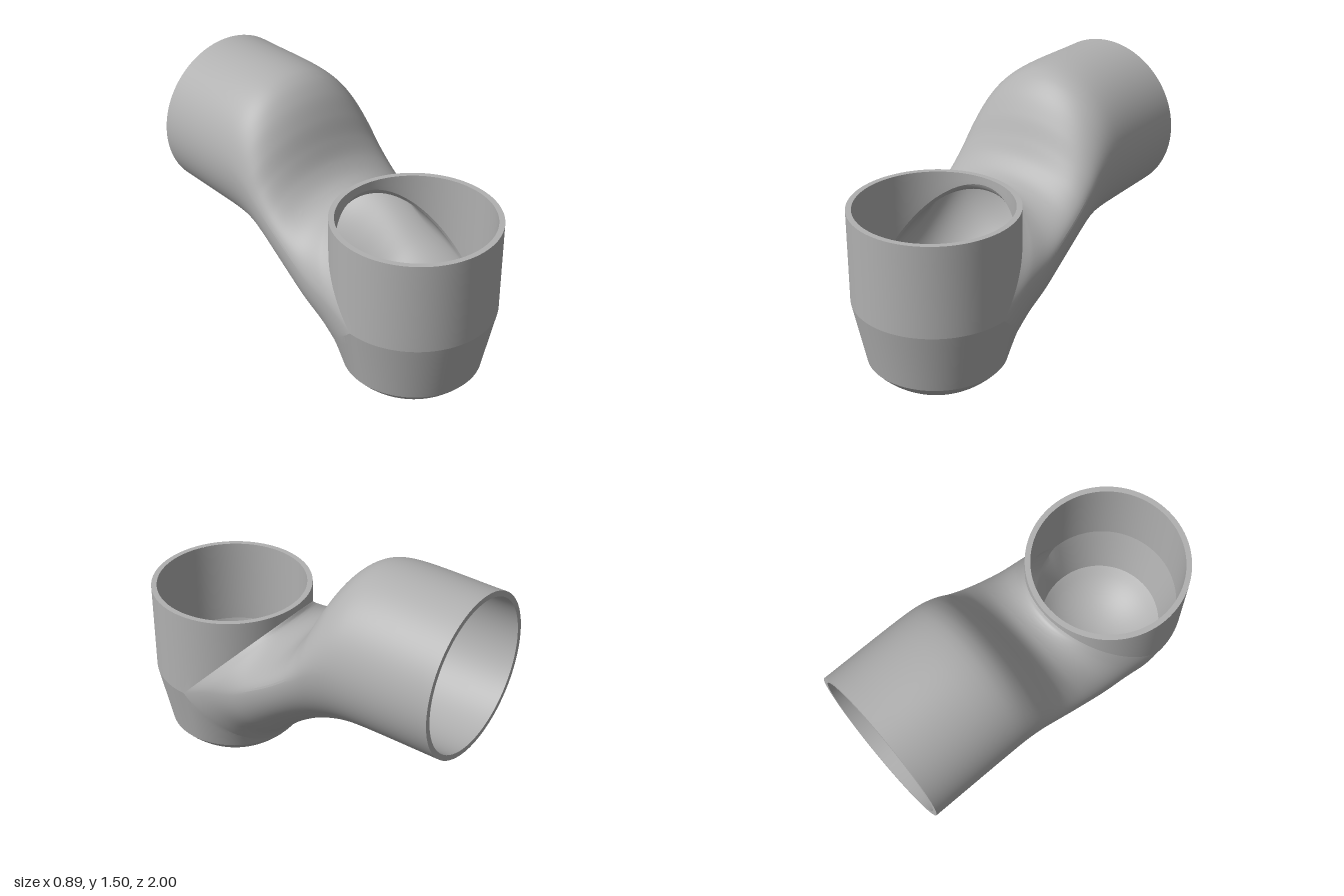
import * as THREE from 'three';
import { mergeVertices, toCreasedNormals } from 'three/addons/utils/BufferGeometryUtils.js';

const N = 96;          // segments around
const R = 0.445;       // outer radius of both sockets
const WALL = 0.03;
const CUP_Z = 0.555, RIM_Y = 1.04, SHOULDER_Y = 0.53;
const BASE_R = 0.375, BASE_Y = 0.18;
const DUCT_Y = 1.05;

// duct profile stations: [z, y] of the top, widest and bottom lines
const stations = [
  [[0.11, 1.0], [0.555, 0.53], [0.18, 0.18]],
  [[0.095, 0.98], [0.4, 0.6], [0.13, 0.25]],
  [[0.04, 0.97], [0.2, 0.67], [0.06, 0.32]],
  [[-0.04, 0.995], [0.05, 0.755], [-0.01, 0.385]],
  [[-0.11, 1.06], [-0.08, 0.84], [-0.10, 0.455]],
  [[-0.165, 1.16], [-0.2, 0.93], [-0.21, 0.52]],
  [[-0.22, 1.28], [-0.29, 1.0], [-0.32, 0.56]],
  [[-0.29, 1.39], [-0.37, 1.035], [-0.40, 0.58]],
  [[-0.37, 1.46], [-0.44, 1.047], [-0.46, 0.59]],
  [[-0.47, 1.493], [-0.54, 1.05], [-0.55, 0.598]],
  [[-1, 1.495], [-1, 1.05], [-1, 0.605]],
];
const [topLine, sideLine, bottomLine] = [0, 1, 2].map(k =>
  new THREE.CatmullRomCurve3(stations.map(s => new THREE.Vector3(0, s[k][1], s[k][0]))));

// point on the duct; angle 0 is the bottom, PI the top
function ductPoint(t, angle) {
  const c = Math.cos(angle);
  const p = sideLine.getPoint(t).lerp((c > 0 ? bottomLine : topLine).getPoint(t), Math.abs(c));
  p.x = R * Math.sin(angle);
  return p;
}

// point on the cup; angle 0 faces the back
const cupPoint = (r, y, angle) =>
  new THREE.Vector3(r * Math.sin(angle), y, CUP_Z - r * Math.cos(angle));

// lower and upper edges of the opening where the duct leaves the cup
function opening(angle, upper) {
  if (Math.cos(angle) < 0) return cupPoint(R, SHOULDER_Y, angle);
  return ductPoint(0, upper ? Math.PI - angle : angle);
}

// closed band of quads, rows along t from 0 to 1
function addBand(out, rows, point) {
  const grid = [];
  for (let i = 0; i <= rows; i++) {
    grid.push([]);
    for (let j = 0; j < N; j++) grid[i].push(point(i / rows, (j / N) * Math.PI * 2));
  }
  for (let i = 0; i < rows; i++) {
    for (let j = 0; j < N; j++) {
      const k = (j + 1) % N;
      const a = grid[i][j], b = grid[i + 1][j], c = grid[i + 1][k], d = grid[i][k];
      for (const p of [a, b, d, b, c, d]) out.push(p.x, p.y, p.z);
    }
  }
}

// welded outer skin: bowl, cup wall around the opening, duct
function outerSkin() {
  const out = [];
  const bowlR = (BASE_R ** 2 + BASE_Y ** 2) / (2 * BASE_Y);
  const bowlAngle = Math.asin(BASE_R / bowlR);
  addBand(out, 12, (t, a) =>
    cupPoint(bowlR * Math.sin(t * bowlAngle), bowlR * (1 - Math.cos(t * bowlAngle)), a));
  addBand(out, 5, (t, a) => cupPoint(BASE_R, BASE_Y, a).lerp(opening(a, false), t));
  addBand(out, 5, (t, a) => opening(a, true).lerp(cupPoint(R, RIM_Y, a), t));
  addBand(out, 80, ductPoint);

  let geo = new THREE.BufferGeometry();
  geo.setAttribute('position', new THREE.Float32BufferAttribute(out, 3));
  geo = mergeVertices(geo, 1e-4);
  // drop collapsed triangles
  const idx = geo.index.array, kept = [];
  for (let i = 0; i < idx.length; i += 3) {
    const [a, b, c] = [idx[i], idx[i + 1], idx[i + 2]];
    if (a !== b && b !== c && c !== a) kept.push(a, b, c);
  }
  geo.setIndex(kept);
  geo.computeVertexNormals();
  return geo;
}

// same skin moved inward by the wall thickness and turned inside out
function innerSkin(outer) {
  const geo = outer.clone();
  const pos = geo.attributes.position, nor = geo.attributes.normal;
  for (let i = 0; i < pos.count; i++) {
    const x = pos.getX(i), y = pos.getY(i), z = pos.getZ(i);
    // keep the open ends flush with the rims
    const atRim = Math.abs(y - RIM_Y) < 1e-3 && z > 0.1, atEnd = z < -0.999;
    pos.setXYZ(i,
      x - WALL * nor.getX(i),
      atRim ? y : y - WALL * nor.getY(i),
      atEnd ? z : z - WALL * nor.getZ(i));
  }
  geo.setIndex(Array.from(geo.index.array).reverse());
  return geo;
}

export function createModel() {
  const group = new THREE.Group();
  group.name = 'pipeElbow';
  const grey = new THREE.MeshStandardMaterial({ color: 0xb0b0b0 });
  grey.name = 'grey';

  const add = (name, geo) => {
    const mesh = new THREE.Mesh(geo, grey);
    mesh.name = name;
    group.add(mesh);
    return mesh;
  };

  const outer = outerSkin();
  add('outerWall', toCreasedNormals(outer, 0.16));
  add('innerWall', toCreasedNormals(innerSkin(outer), 0.16));

  // flat rims of the two open sockets
  const ring = new THREE.RingGeometry(R - WALL, R, N);
  const cupRim = add('cupRim', ring);
  cupRim.rotation.x = -Math.PI / 2;
  cupRim.position.set(0, RIM_Y, CUP_Z);
  const ductRim = add('ductRim', ring);
  ductRim.rotation.y = Math.PI;
  ductRim.position.set(0, DUCT_Y, -1);

  return group;
}
